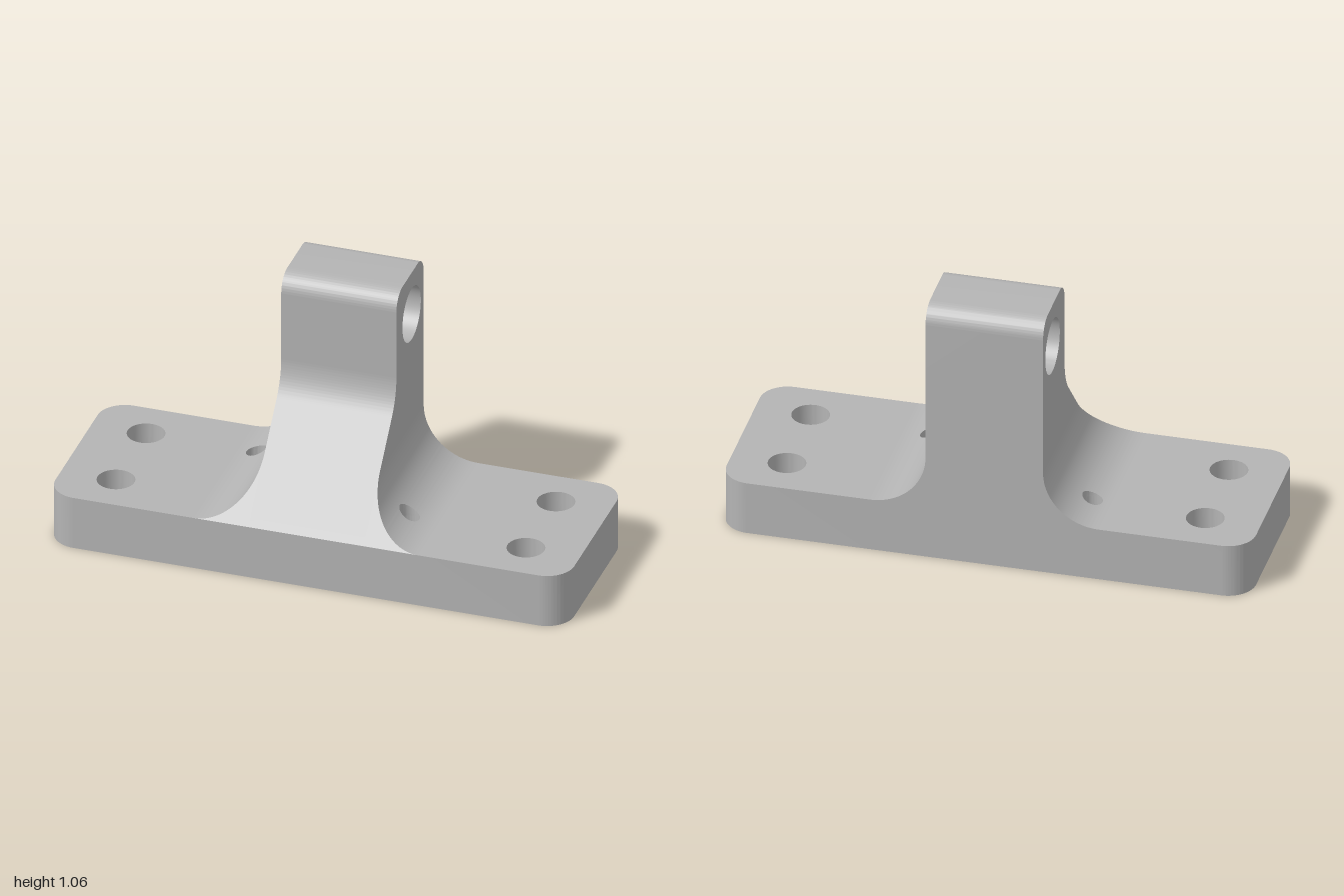
import * as THREE from 'three';
import { toCreasedNormals } from 'three/addons/utils/BufferGeometryUtils.js';

const D = 0.352;      // half depth
const B = 0.212;      // base thickness
const W = 0.222;      // half width of the upright
const R = 0.21;       // fillet radius
const TOP = 1.059, FRONT = -0.033;
const PIN_R = 0.038;
// pin holes, x measured outwards on each side
const PINS = [{ side: 1, x: 0.324, z: 0.122 }, { side: -1, x: 0.361, z: -0.163 }];

const SLOPE = 0.916;  // dz / dy of the sloping front
const slopeZ = (y) => D - (y - B) * SLOPE;
const filletY = (x) => B + R - Math.sqrt(Math.max(0, R * R - (W + R - x) ** 2));

function circle(x, y, r) {
  return new THREE.Path().absarc(x, y, r, 0, Math.PI * 2, true);
}

// Rounded plate with bolt holes and pin holes
function baseGeometry() {
  const c = 0.105, q = Math.PI / 2;
  const s = new THREE.Shape();
  s.absarc(1 - c, D - c, c, 0, q);
  s.absarc(-1 + c, D - c, c, q, 2 * q);
  s.absarc(-1 + c, -D + c, c, 2 * q, 3 * q);
  s.absarc(1 - c, -D + c, c, 3 * q, 4 * q);
  for (const x of [-0.79, 0.79]) for (const z of [-0.176, 0.176]) s.holes.push(circle(x, z, 0.071));
  for (const p of PINS) s.holes.push(circle(p.side * p.x, -p.z, PIN_R));
  const g = new THREE.ExtrudeGeometry(s, { depth: B, bevelEnabled: false, curveSegments: 24 });
  g.rotateX(-Math.PI / 2);
  return toCreasedNormals(g, 0.5);
}

// Upright lug: side profile (z, y) extruded across the width
function uprightGeometry() {
  const c = 0.07;
  const bend = Math.PI / 2 - Math.atan(1 / SLOPE);
  const turn = Math.PI / 2 - bend;            // slope angle from horizontal
  const arc = Math.PI / 2 - turn;             // swept angle of the concave bend
  const arcY = B + (D - FRONT) / SLOPE + R * Math.tan(arc / 2);
  const s = new THREE.Shape();
  s.moveTo(-D, B);
  s.lineTo(D, B);
  s.absarc(FRONT + R, arcY, R, Math.PI + arc, Math.PI, true);
  s.absarc(FRONT - c, TOP - c, c, 0, Math.PI / 2);
  s.absarc(-D + c, TOP - c, c, Math.PI / 2, Math.PI);
  s.closePath();
  s.holes.push(circle(-0.211, 0.884, 0.1075));
  const g = new THREE.ExtrudeGeometry(s, { depth: 2 * W, bevelEnabled: false, curveSegments: 32 });
  g.rotateY(-Math.PI / 2);
  g.translate(W, 0, 0);
  return toCreasedNormals(g, 0.5);
}

// Concave fillet beside the upright, pierced by a pin hole
function filletGeometry({ side, x: hx, z: hz }) {
  const pos = [];
  const quad = (a, b, c, d) => {
    const corners = side > 0 ? [a, b, c, a, c, d] : [a, c, b, a, d, c];
    for (const [x, y, z] of corners) pos.push(side * x, y, z);
  };
  const half = (x) => Math.sqrt(Math.max(0, PIN_R ** 2 - (x - hx) ** 2));

  // columns follow both the fillet arc and the hole's outline
  const xs = [];
  for (let i = 0; i <= 24; i++) xs.push(W + R - R * Math.cos((i / 24) * Math.PI / 2));
  for (let i = 0; i <= 12; i++) xs.push(hx - PIN_R * Math.cos((i / 12) * Math.PI));
  xs.sort((a, b) => a - b);

  for (let i = 0; i < xs.length - 1; i++) {
    const x0 = xs[i], x1 = xs[i + 1];
    const y0 = filletY(x0), y1 = filletY(x1);
    const h0 = half(x0), h1 = half(x1);
    const f0 = slopeZ(y0), f1 = slopeZ(y1);
    // curved surface behind and in front of the hole
    quad([x0, y0, -D], [x0, y0, hz - h0], [x1, y1, hz - h1], [x1, y1, -D]);
    quad([x0, y0, hz + h0], [x0, y0, f0], [x1, y1, f1], [x1, y1, hz + h1]);
    // flat back and sloping front
    quad([x0, B, -D], [x0, y0, -D], [x1, y1, -D], [x1, B, -D]);
    quad([x0, y0, f0], [W, y0, f0], [W, y1, f1], [x1, y1, f1]);
    // hole walls
    if (h0 + h1 > 1e-6) {
      quad([x0, B, hz + h0], [x0, y0, hz + h0], [x1, y1, hz + h1], [x1, B, hz + h1]);
      quad([x1, B, hz - h1], [x1, y1, hz - h1], [x0, y0, hz - h0], [x0, B, hz - h0]);
    }
  }
  const g = new THREE.BufferGeometry();
  g.setAttribute('position', new THREE.Float32BufferAttribute(pos, 3));
  return toCreasedNormals(g, 0.5);
}

export function createModel() {
  const metal = new THREE.MeshStandardMaterial({ color: 0xb4b4b4 });
  metal.name = 'grey metal';
  const model = new THREE.Group();
  model.name = 'mountingBracket';
  const add = (name, geometry) => {
    const mesh = new THREE.Mesh(geometry, metal);
    mesh.name = name;
    model.add(mesh);
  };
  add('basePlate', baseGeometry());
  add('uprightLug', uprightGeometry());
  for (const p of PINS) add(p.side > 0 ? 'leftFillet' : 'rightFillet', filletGeometry(p));
  return model;
}
